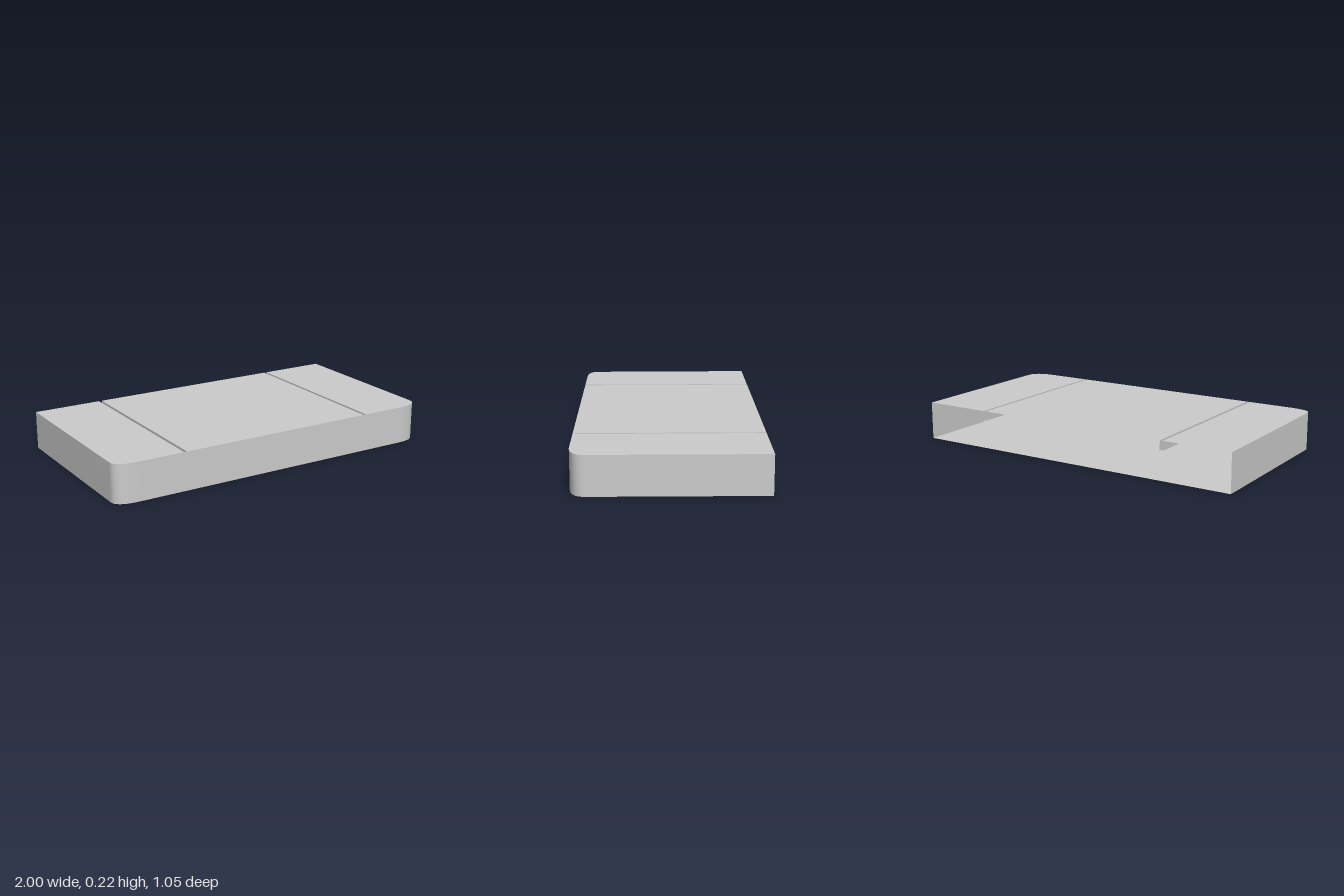
import * as THREE from 'three';

const H = 0.22, GROOVE_Y = 0.165;

// Slightly skewed edges of the plan outline
const backZ = x => -0.52 + 0.007 * x;
const frontZ = x => 0.518 + 0.008 * x;

const corner = (a, control, b) => new THREE.QuadraticBezierCurve(
  new THREE.Vector2(...a), new THREE.Vector2(...control), new THREE.Vector2(...b)).getPoints(12);

export function createModel() {
  const group = new THREE.Group();
  const material = new THREE.MeshStandardMaterial({ color: 0xcccccc, side: THREE.DoubleSide });
  const add = (name, geometry) => {
    const mesh = new THREE.Mesh(geometry, material);
    mesh.name = name;
    group.add(mesh);
  };

  // Horizontal sheet from plan points (x, z)
  const sheet = (name, points, y) => {
    const shape = new THREE.Shape(points.map(p => new THREE.Vector2(p.x, -p.y)));
    add(name, new THREE.ShapeGeometry(shape).rotateX(-Math.PI / 2).translate(0, y, 0));
  };

  // Upright strip following plan points (x, z)
  const wall = (name, points, y0, y1) => {
    const positions = [], index = [];
    points.forEach((p, i) => {
      positions.push(p.x, y0, p.y, p.x, y1, p.y);
      const k = 2 * i;
      if (i < points.length - 1) index.push(k, k + 2, k + 1, k + 1, k + 2, k + 3);
    });
    const geometry = new THREE.BufferGeometry();
    geometry.setAttribute('position', new THREE.Float32BufferAttribute(positions, 3));
    geometry.setIndex(index);
    geometry.computeVertexNormals();
    add(name, geometry);
  };

  // Plan outline: left end, rounded front corners, right end; the back is open
  const backLeft = new THREE.Vector2(-1, backZ(-1));
  const backRight = new THREE.Vector2(1, backZ(1));
  const leftCorner = corner([-1, 0.44], [-1, frontZ(-1)], [-0.86, frontZ(-0.86)]);
  const rightCorner = corner([0.85, frontZ(0.85)], [0.99, frontZ(0.99)], [0.992, 0.44]);
  const outline = [backLeft, ...leftCorner, ...rightCorner, backRight];

  sheet('bottom', outline, 0);
  wall('sideWall', outline, 0, H);

  // Lines running front to back beside each groove: [front point, back point]
  const line = (xFront, xBack) => [
    new THREE.Vector2(xFront, frontZ(xFront)), new THREE.Vector2(xBack, backZ(xBack))];
  const grooves = [
    [line(-0.603, -0.599), line(-0.585, -0.581)],
    [line(0.58, 0.584), line(0.597, 0.601)],
  ];
  const [[a, b], [c, d]] = grooves;

  // Top panels between the grooves
  sheet('topLeftPanel', [backLeft, ...leftCorner, ...a], H);
  sheet('topMiddlePanel', [b[1], b[0], c[0], c[1]], H);
  sheet('topRightPanel', [d[1], d[0], ...rightCorner, backRight], H);

  // Channels sunk into the top
  for (const [l, r] of grooves) {
    sheet('grooveFloor', [l[1], l[0], r[0], r[1]], GROOVE_Y);
    wall('grooveSide', [l[1], l[0]], GROOVE_Y, H);
    wall('grooveSide', [r[0], r[1]], GROOVE_Y, H);
  }
  return group;
}
